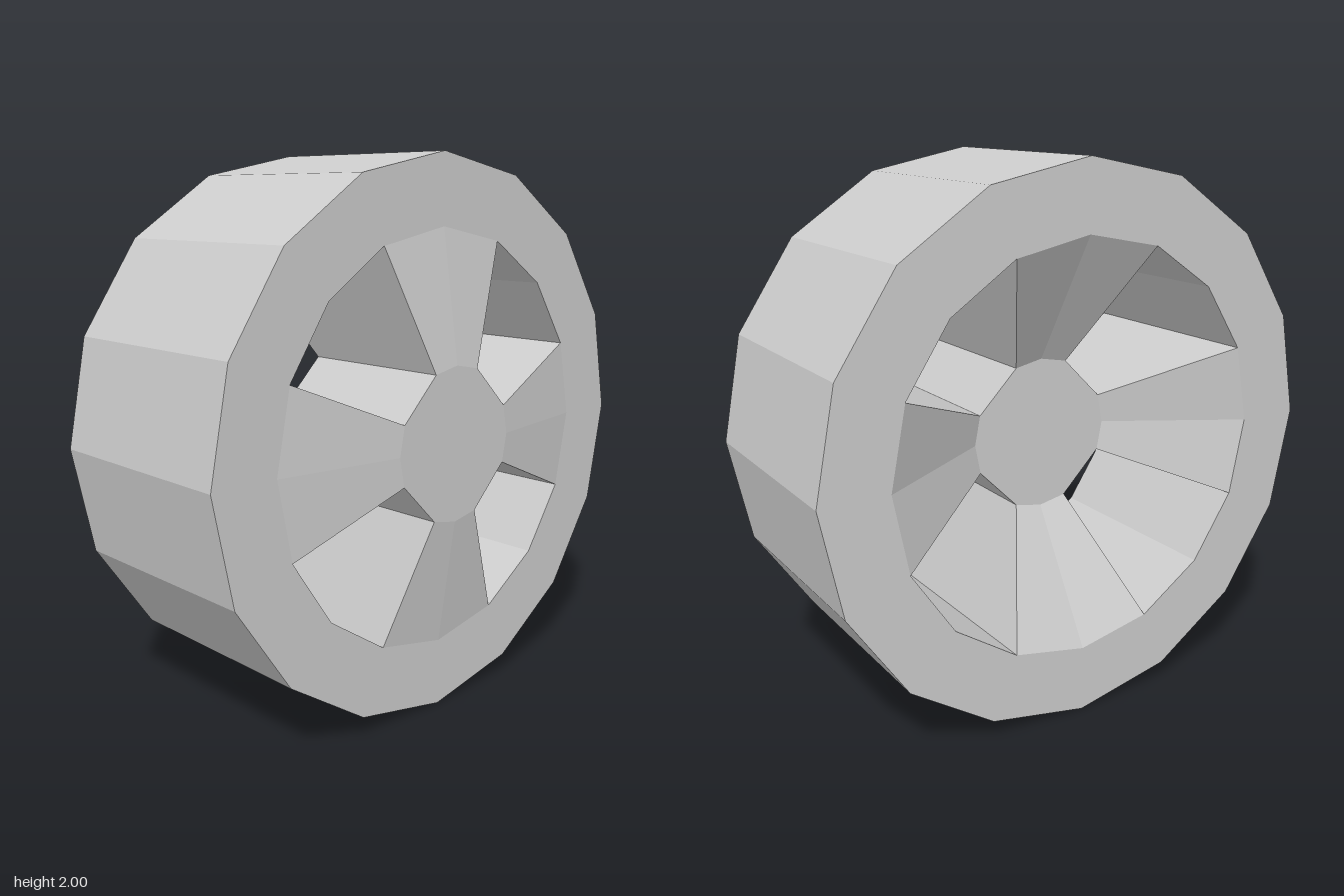
import * as THREE from 'three';

const RIM_BACK = -0.44, RIM_FRONT = 0.37;
const HUB_BACK = -0.16, HUB_FRONT = 0.44;
const OUTER_R = 1, INNER_R = 0.75, HUB_R = 0.28;
const STEP = Math.PI / 8; // sixteen-sided wheel

const onCircle = (r, i) => new THREE.Vector2(r * Math.cos(i * STEP), r * Math.sin(i * STEP));

// Sixteen corners on a circle, leaving out those the filter rejects
function ring(r, keep = () => true) {
  const pts = [];
  for (let i = 0; i < 16; i++) if (keep(i)) pts.push(onCircle(r, i));
  return pts;
}

function slab(shape, z0, z1) {
  const geo = new THREE.ExtrudeGeometry(shape, { depth: z1 - z0, bevelEnabled: false });
  return geo.translate(0, 0, z0);
}

// Wedge joining the hub to the rim, lofted between two six-point sections
function spokeGeometry() {
  const section = (r, back, front) => [
    ...[-1, 0, 1].map(i => [...onCircle(r, i), front]),
    ...[1, 0, -1].map(i => [...onCircle(r, i), back]),
  ];
  const inner = section(HUB_R, HUB_BACK, HUB_FRONT);
  const outer = section(INNER_R, RIM_BACK, RIM_FRONT);
  const pos = [];
  for (let i = 0; i < 6; i++) {
    const j = (i + 1) % 6;
    pos.push(...inner[i], ...outer[i], ...outer[j], ...inner[i], ...outer[j], ...inner[j]);
  }
  const geo = new THREE.BufferGeometry();
  geo.setAttribute('position', new THREE.Float32BufferAttribute(pos, 3));
  geo.computeVertexNormals();
  return geo;
}

export function createModel() {
  const material = new THREE.MeshStandardMaterial({ color: 0xcccccc, flatShading: true });
  const wheel = new THREE.Group();
  wheel.name = 'wheel';
  const add = (name, geo) => {
    const mesh = new THREE.Mesh(geo, material);
    mesh.name = name;
    wheel.add(mesh);
    return mesh;
  };

  // Tyre and rim: a wide faceted ring
  const rim = new THREE.Shape(ring(OUTER_R));
  rim.holes.push(new THREE.Path(ring(INNER_R).reverse()));
  add('rim', slab(rim, RIM_BACK, RIM_FRONT));

  // Hub: flat on the sides that face the four openings
  add('hub', slab(new THREE.Shape(ring(HUB_R, i => i % 4 !== 2)), HUB_BACK, HUB_FRONT));

  // Four flared spokes, each folded along its middle
  const spoke = spokeGeometry();
  for (let k = 0; k < 4; k++) add('spoke' + (k + 1), spoke).rotation.z = k * Math.PI / 2;

  // Axle runs along x, outer face towards +x
  wheel.rotation.y = Math.PI / 2;
  wheel.position.y = 1;
  const model = new THREE.Group();
  model.name = 'model';
  model.add(wheel);
  return model;
}
